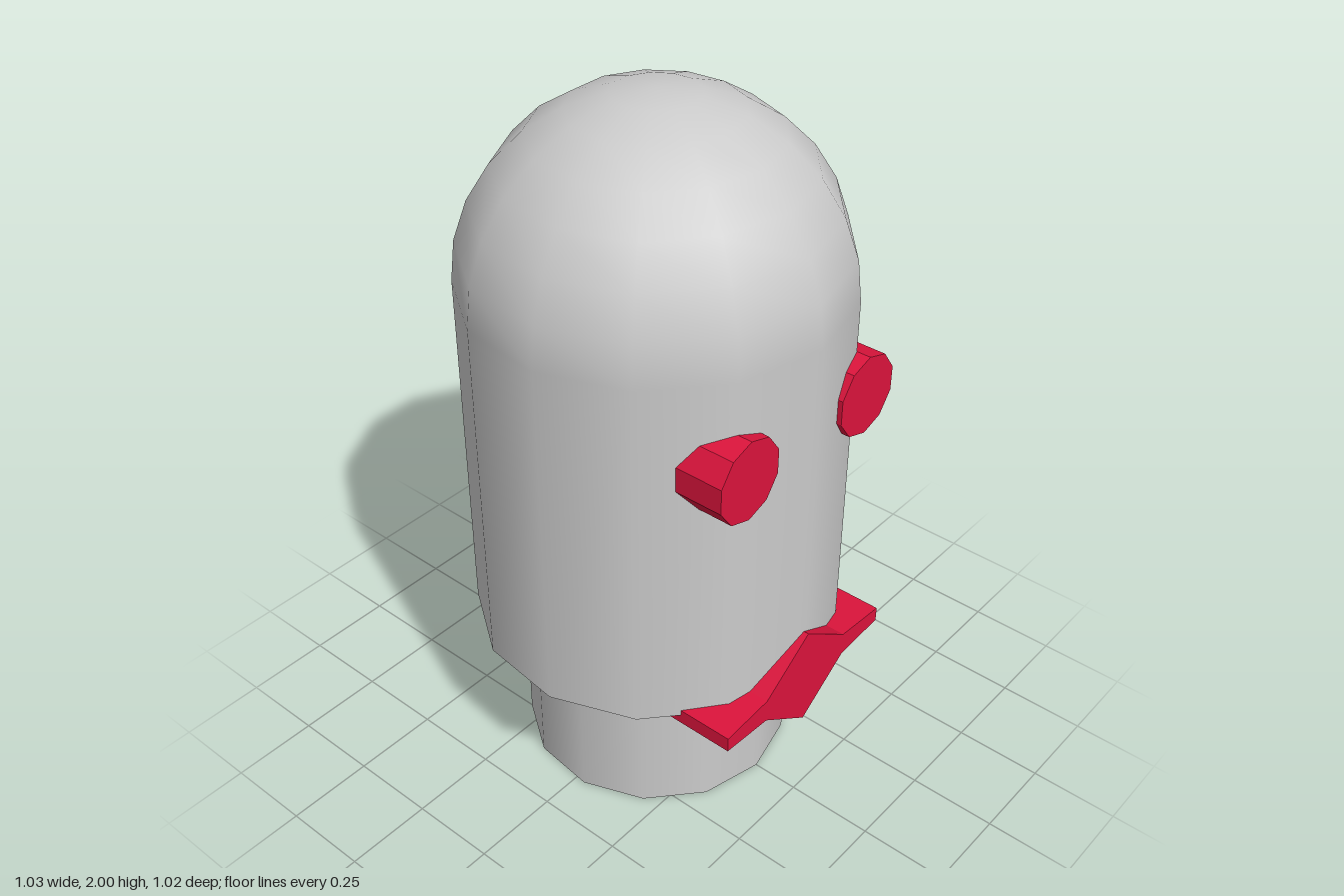
import * as THREE from 'three';

const SIDES = 13;
const CX = -0.016; // body axis
const BODY_R = 0.516;
const SHOULDER = 1.484;

const grey = new THREE.MeshStandardMaterial({ color: 0xcccccc });
const red = new THREE.MeshStandardMaterial({ color: 0xdc143c, flatShading: true });

function addPart(group, name, geometry, material, x, y, z) {
  const mesh = new THREE.Mesh(geometry, material);
  mesh.name = name;
  mesh.position.set(x, y, z);
  group.add(mesh);
  return mesh;
}

// Upright cylinder with one corner pointing along +x
function column(radius, height) {
  return new THREE.CylinderGeometry(radius, radius, height, SIDES, 1, false, Math.PI / 2);
}

export function createModel() {
  const group = new THREE.Group();
  group.name = 'figure';

  // Narrow base and wide body
  addPart(group, 'base', column(0.381, 0.5), grey, CX, 0.25, 0);
  const bodyBottom = 0.45;
  const bodyHeight = SHOULDER - bodyBottom;
  addPart(group, 'body', column(BODY_R, bodyHeight), grey, CX, bodyBottom + bodyHeight / 2, 0);

  // Domed head
  const dome = new THREE.SphereGeometry(BODY_R, SIDES, 7, Math.PI, Math.PI * 2, 0, Math.PI / 2);
  addPart(group, 'dome', dome, grey, CX, SHOULDER, 0);

  // Peg eyes, facing +x
  const eye = new THREE.CylinderGeometry(0.115, 0.115, 0.28, 10, 1, false, Math.PI / 2);
  eye.rotateZ(-Math.PI / 2);
  for (const side of [1, -1]) {
    addPart(group, side > 0 ? 'frontEye' : 'backEye', eye, red, 0.342, 1.226, side * 0.24);
  }

  // Diamond mouth with two flat arms, extruded along x
  const half = [[0, 0.6], [0.172, 0.48], [0.336, 0.467], [0.336, 0.423], [0.172, 0.41], [0, 0.29]];
  const mirrored = half.slice(1, -1).reverse().map(([x, y]) => [-x, y]);
  const outline = new THREE.Shape([...half, ...mirrored].map(([x, y]) => new THREE.Vector2(x, y)));
  const back = 0.15;
  const mouth = new THREE.ExtrudeGeometry(outline, { depth: 0.515 - back, bevelEnabled: false });
  mouth.rotateY(Math.PI / 2);
  addPart(group, 'mouth', mouth, red, back, 0, 0);

  return group;
}
